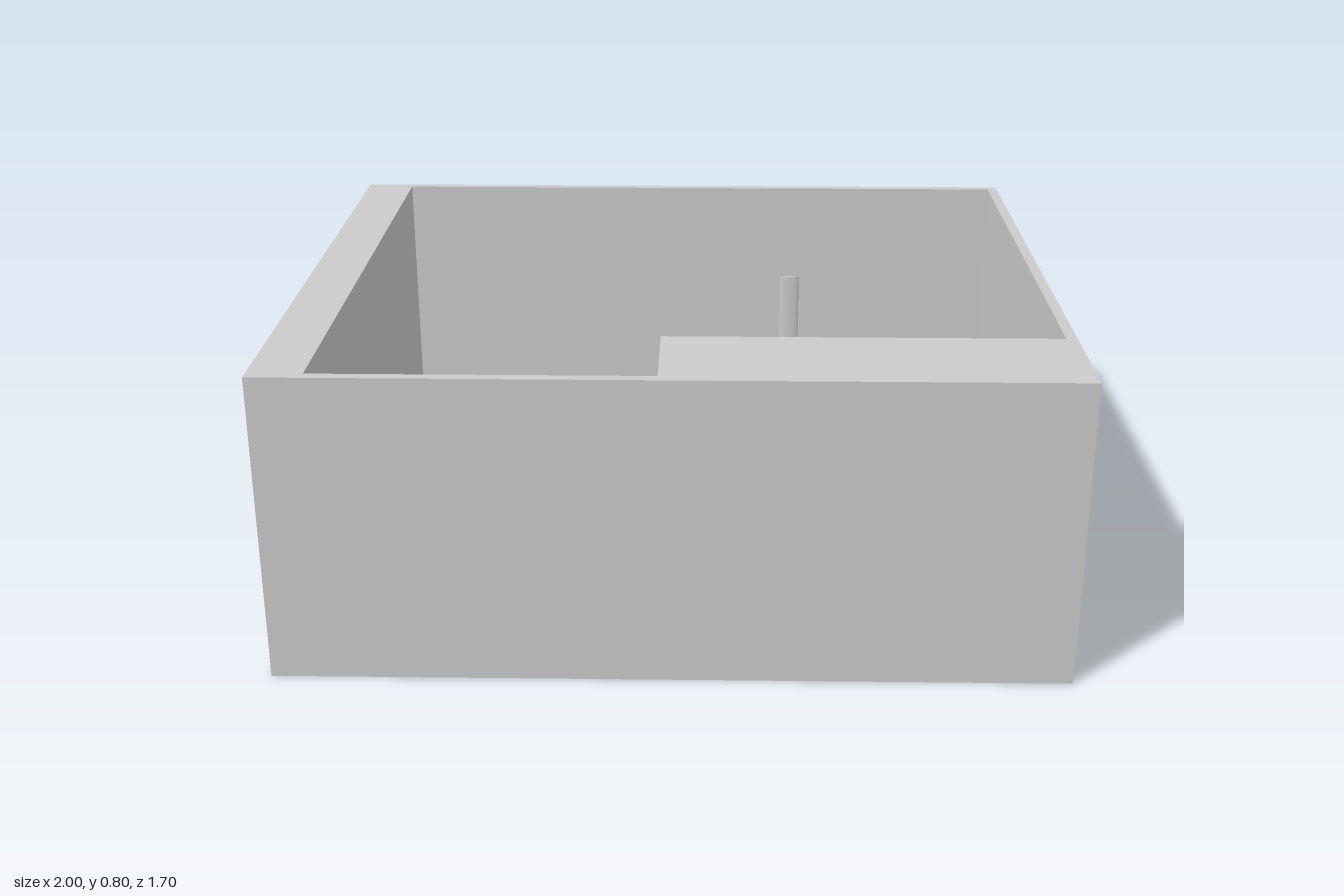
import * as THREE from 'three';

const FLOOR = 0.077, TOP = 0.803, DEPTH = 0.8475;

export function createModel() {
  const model = new THREE.Group();
  const mat = new THREE.MeshStandardMaterial({ color: 0xcccccc });

  const add = (name, geo, x = 0, y = 0, z = 0, parent = model) => {
    const m = new THREE.Mesh(geo, mat);
    m.name = name;
    m.position.set(x, y, z);
    parent.add(m);
    return m;
  };
  // box given by its two extreme corners
  const box = (name, x0, x1, y0, y1, z0, z1, parent) =>
    add(name, new THREE.BoxGeometry(x1 - x0, y1 - y0, z1 - z0),
      (x0 + x1) / 2, (y0 + y1) / 2, (z0 + z1) / 2, parent);
  // plan outlines are [x, z], counter-clockwise from above; extruded from y0 to y1
  const plan = pts => pts.map(([x, z]) => new THREE.Vector2(x, -z));
  const prism = (name, outline, y0, y1, hole) => {
    const shape = new THREE.Shape(plan(outline));
    if (hole) shape.holes.push(new THREE.Path(plan(hole)));
    const geo = new THREE.ExtrudeGeometry(shape, { depth: y1 - y0, bevelEnabled: false });
    geo.rotateX(-Math.PI / 2);
    return add(name, geo, 0, y0, 0);
  };

  // floor slab and the walls around an L-shaped room
  box('floor', -1, 1, 0, FLOOR, -DEPTH, DEPTH);
  prism('walls',
    [[-1, DEPTH], [1, DEPTH], [1, -DEPTH], [-1, -DEPTH]], FLOOR, TOP,
    [[-0.863, -0.822], [0.972, -0.822], [0.972, 0.55], [-0.03, 0.55], [-0.03, 0.82], [-0.863, 0.82]]);

  // half columns standing out of the opposite walls
  const halfColumn = (name, x, z, r, squash, turn) => {
    const h = 0.51 - FLOOR;
    const geo = new THREE.CylinderGeometry(r, r, h, 32, 1, false, turn, Math.PI);
    geo.scale(1, 1, squash);
    add(name, geo, x, FLOOR + h / 2, z);
  };
  halfColumn('frontColumn', 0.36, 0.55, 0.076, 1, Math.PI / 2);
  halfColumn('backColumn', 0.35, -0.822, 0.03, 0.25, -Math.PI / 2);

  // stairs rising towards the front wall
  const stairs = new THREE.Group();
  stairs.name = 'stairs';
  model.add(stairs);
  const edges = [0.48, 0.567, 0.652, 0.734, 0.822];
  const treads = [0.13, 0.186, 0.243, 0.3];
  treads.forEach((y, i) =>
    box('step', -0.665, i ? -0.03 : -0.012, FLOOR, y, edges[i], i ? edges[i + 1] : 0.55, stairs));
  box('bottomStepBack', -0.665, -0.03, FLOOR, treads[0], 0.55, edges[1], stairs);

  // low railing on both sides of the stairs
  const railing = x => {
    const g = new THREE.Group();
    g.name = 'railing';
    const z0 = 0.565, z1 = 0.815, railY = z => 0.3 + (z - z0) * 0.34;
    [0, -0.05].forEach(drop => {
      const dy = railY(z1) - railY(z0);
      const bar = add('rail', new THREE.BoxGeometry(0.008, 0.01, Math.hypot(dy, z1 - z0)),
        x, railY((z0 + z1) / 2) + drop, (z0 + z1) / 2, g);
      bar.rotation.x = -Math.atan2(dy, z1 - z0);
    });
    [0.575, 0.66, 0.74, 0.81].forEach((z, i) =>
      box('post', x - 0.004, x + 0.004, treads[i], railY(z), z - 0.005, z + 0.005, g));
    model.add(g);
  };
  [-0.036, -0.661].forEach(railing);

  // door panel slightly ajar at the head of the stairs
  prism('door', [[-0.48, 0.822], [-0.03, 0.822], [-0.03, 0.806], [-0.48, 0.819]], 0.3, 0.65);

  return model;
}
